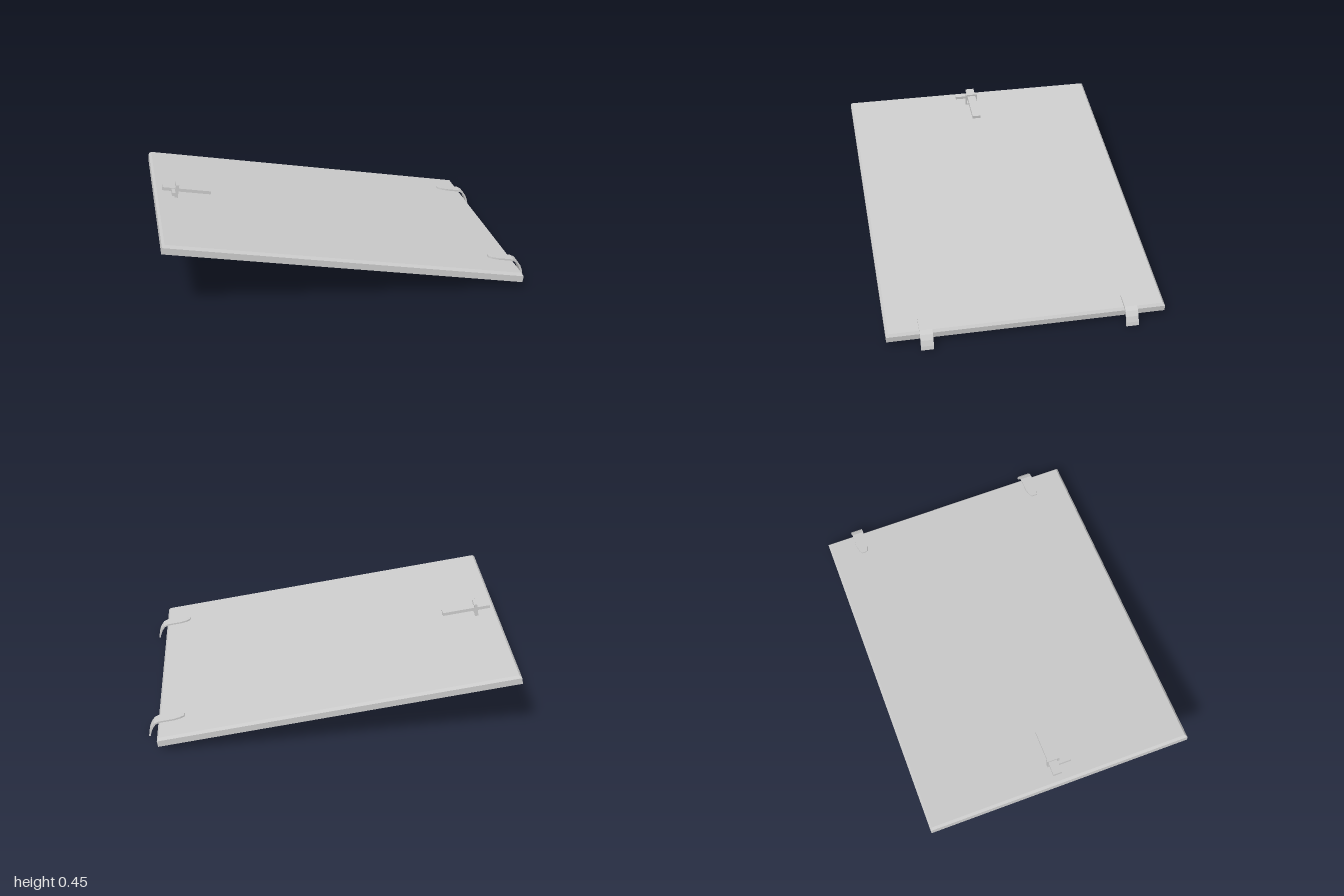
import * as THREE from 'three';

const material = new THREE.MeshStandardMaterial({ color: 0xcccccc, flatShading: true });

function addMesh(parent, name, geometry, x = 0, y = 0, z = 0) {
  const mesh = new THREE.Mesh(geometry, material);
  mesh.name = name;
  mesh.position.set(x, y, z);
  parent.add(mesh);
  return mesh;
}

// Closed solid through a row of four-cornered cross-sections
function loft(sections) {
  const index = [];
  const n = sections.length;
  for (let i = 0; i < n - 1; i++) {
    for (let k = 0; k < 4; k++) {
      const a = i * 4 + k, b = i * 4 + (k + 1) % 4;
      index.push(a, a + 4, b + 4, a, b + 4, b);
    }
  }
  const e = (n - 1) * 4;
  index.push(0, 1, 2, 0, 2, 3, e, e + 2, e + 1, e, e + 3, e + 2);
  const geometry = new THREE.BufferGeometry();
  geometry.setAttribute('position', new THREE.Float32BufferAttribute(sections.flat(2), 3));
  geometry.setIndex(index);
  const flat = geometry.toNonIndexed();
  flat.computeVertexNormals();
  return flat;
}

// Hinge strap: tapered tip lying on the panel, bent down past its edge
function strapGeometry() {
  const path = [ // x, y, half width
    [0.805, 0.113, 0.014], [0.825, 0.11, 0.026], [0.86, 0.104, 0.034], [0.945, 0.09, 0.034],
    [0.968, 0.077, 0.034], [0.985, 0.052, 0.034], [0.996, 0.022, 0.034], [1, 0, 0.034],
  ];
  const thickness = 0.01;
  return loft(path.map(([x, y, w], i) => {
    const p = path[Math.max(i - 1, 0)], q = path[Math.min(i + 1, path.length - 1)];
    const last = i === path.length - 1;
    const dx = last ? 0 : q[0] - p[0], dy = last ? -1 : q[1] - p[1];
    const len = Math.hypot(dx, dy);
    const ix = x + dy / len * thickness, iy = y - dx / len * thickness;
    return [[x, y, w], [x, y, -w], [ix, iy, -w], [ix, iy, w]];
  }));
}

export function createModel() {
  const model = new THREE.Group();
  model.name = 'hatch';

  // Sloping door with its latch
  const door = new THREE.Group();
  door.name = 'door';
  door.position.set(-0.03, 0.19, 0);
  door.rotation.z = -0.1615;
  model.add(door);

  // Panel with a chamfered top edge
  const slice = (y, inset) => {
    const x = 0.983 - inset, z = 0.75 - inset;
    return [[x, y, z], [-x, y, z], [-x, y, -z], [x, y, -z]];
  };
  addMesh(door, 'panel', loft([slice(0, 0), slice(0.035, 0), slice(0.049, 0.012)]));

  // Sliding bolt, its side handle and the square keeper around it
  addMesh(door, 'bolt', new THREE.BoxGeometry(0.274, 0.018, 0.05), -0.81, 0.091, -0.003);
  addMesh(door, 'boltHandle', new THREE.BoxGeometry(0.018, 0.017, 0.08), -0.888, 0.089, 0.055);
  const keeper = new THREE.Shape([[-1, -1], [1, -1], [1, 1], [-1, 1]]
    .map(([x, y]) => new THREE.Vector2(x * 0.035, y * 0.038)));
  keeper.holes.push(new THREE.Path([[-1, -1], [-1, 1], [1, 1], [1, -1]]
    .map(([x, y]) => new THREE.Vector2(x * 0.026, y * 0.028))));
  const keeperGeometry = new THREE.ExtrudeGeometry(keeper, { depth: 0.018, bevelEnabled: false });
  keeperGeometry.translate(0, 0, -0.009).rotateY(Math.PI / 2);
  addMesh(door, 'boltKeeper', keeperGeometry, -0.866, 0.085, 0);

  // Two hinge straps on the low edge
  const strap = strapGeometry();
  addMesh(model, 'frontHinge', strap, 0, 0, 0.541);
  addMesh(model, 'backHinge', strap, 0, 0, -0.559);
  return model;
}
